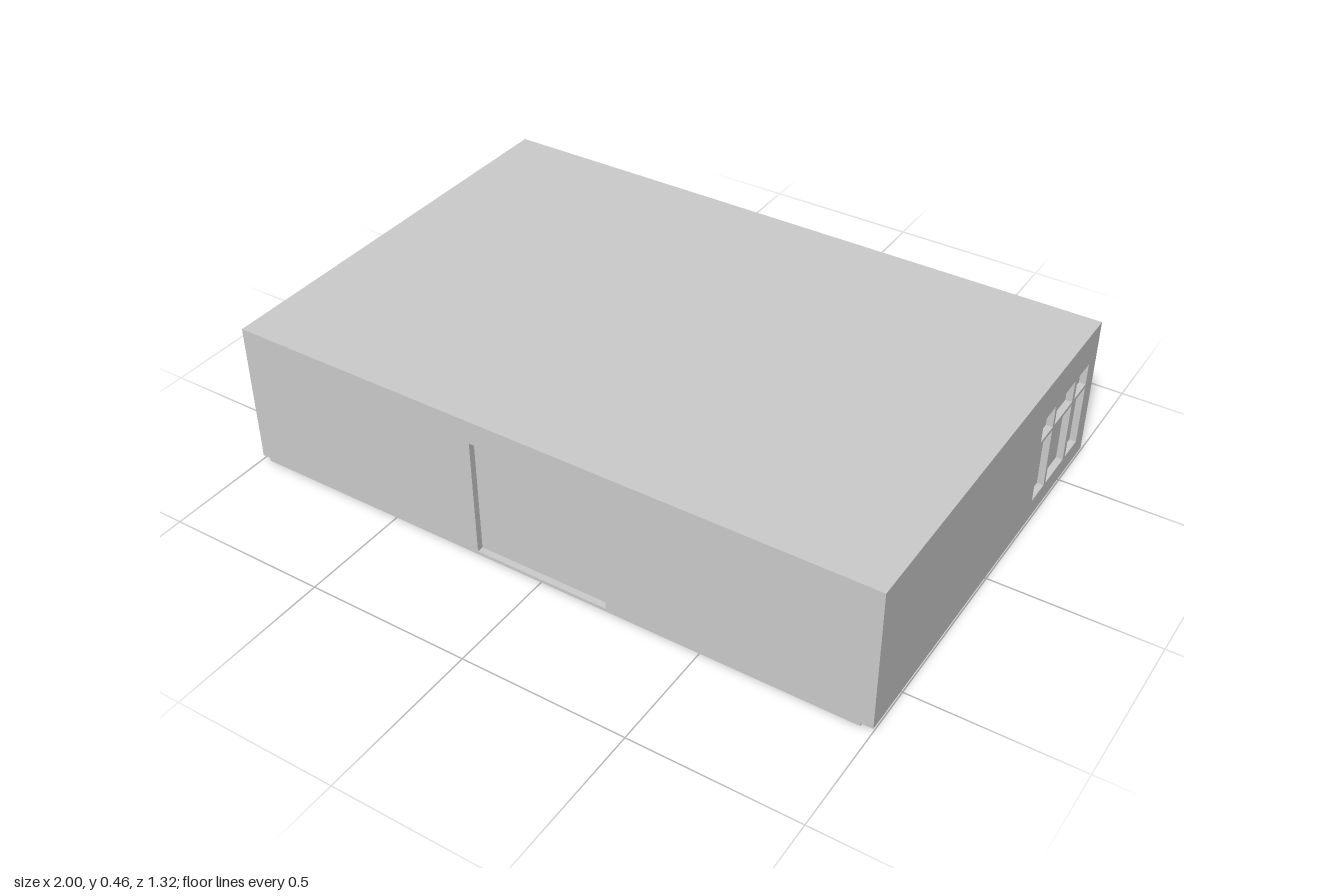
import * as THREE from 'three';

const W = 1, D = 0.66;                  // half width and half depth
const Y0 = 0.012, Y1 = 0.437, TOP = 0.457; // wall foot, wall head, roof top
const T = 0.04, RECESS = 0.02;          // wall thickness, depth of panes

const grey = new THREE.MeshStandardMaterial({ color: 0xcccccc });
const blue = new THREE.MeshStandardMaterial({ color: 0x0c18e0 });

function mesh(name, geometry, material = grey) {
  const m = new THREE.Mesh(geometry, material);
  m.name = name;
  return m;
}

function box(name, x0, x1, y0, y1, z0, z1) {
  const g = new THREE.BoxGeometry(x1 - x0, y1 - y0, z1 - z0);
  g.translate((x0 + x1) / 2, (y0 + y1) / 2, (z0 + z1) / 2);
  return mesh(name, g);
}

function rect(Kind, x0, x1, y0, y1) {
  const p = new Kind();
  p.moveTo(x0, y0).lineTo(x1, y0).lineTo(x1, y1).lineTo(x0, y1).closePath();
  return p;
}

// A wall whose outer face lies at local z = 0; each window is a list of columns [x0, x1]
function wall(name, half, windows = [], door = null) {
  const group = new THREE.Group();
  group.name = name;
  const shape = new THREE.Shape();
  shape.moveTo(-half, Y0);
  if (door) {
    shape.lineTo(-door.half, Y0).lineTo(-door.half, door.top);
    shape.lineTo(door.half, door.top).lineTo(door.half, Y0);
  }
  shape.lineTo(half, Y0).lineTo(half, Y1).lineTo(-half, Y1).closePath();

  // Each column has a tall lower light and a short upper one
  for (const columns of windows) {
    for (const [x0, x1] of columns) {
      shape.holes.push(rect(THREE.Path, x0, x1, 0.071, 0.265));
      shape.holes.push(rect(THREE.Path, x0, x1, 0.276, 0.346));
      group.add(box('windowPane', x0, x1, 0.071, 0.346, -T + 0.001, -RECESS));
    }
  }
  const g = new THREE.ExtrudeGeometry(shape, { depth: T, bevelEnabled: false });
  g.translate(0, 0, -T);
  group.add(mesh('wallPanel', g));
  if (door) {
    group.add(box('door', -door.half, door.half, Y0, door.top, -T, -RECESS));
  }
  return group;
}

export function createModel() {
  const model = new THREE.Group();
  model.name = 'building';

  // Walls
  const front = wall('frontWall', W, [], { half: 0.211, top: 0.385 });
  front.position.z = D;

  const back = wall('backWall', W, [
    [[-0.87, -0.705], [-0.69, -0.525], [-0.505, -0.36]],
    [[0.385, 0.54], [0.557, 0.72], [0.742, 0.885]],
  ]);
  back.rotation.y = Math.PI;
  back.position.z = -D;

  const left = wall('leftWall', D - T, [
    [[0.286, 0.367], [0.38, 0.505], [0.522, 0.604]],
  ]);
  left.rotation.y = Math.PI / 2;
  left.position.x = W;

  const right = wall('rightWall', D - T);
  right.rotation.y = -Math.PI / 2;
  right.position.x = -W;
  model.add(front, back, left, right);

  // Flat roof and floor
  model.add(box('roof', -W, W, Y1, TOP, -D, D));
  model.add(box('floor', -W + T, W - T, Y0, Y0 + 0.01, -D + T, D - T));

  // Base plate under the floor, set in from the sides and back
  model.add(box('basePlate', -0.975, 0.965, 0.002, Y0, -0.625, D));

  // Blue rectangular frame on the underside
  const ring = rect(THREE.Shape, -0.765, 0.765, -0.5, 0.5);
  ring.holes.push(rect(THREE.Path, -0.655, 0.655, -0.43, 0.43));
  const g = new THREE.ExtrudeGeometry(ring, { depth: 0.003, bevelEnabled: false });
  g.rotateX(-Math.PI / 2);
  model.add(mesh('undersideFrame', g, blue));

  return model;
}
